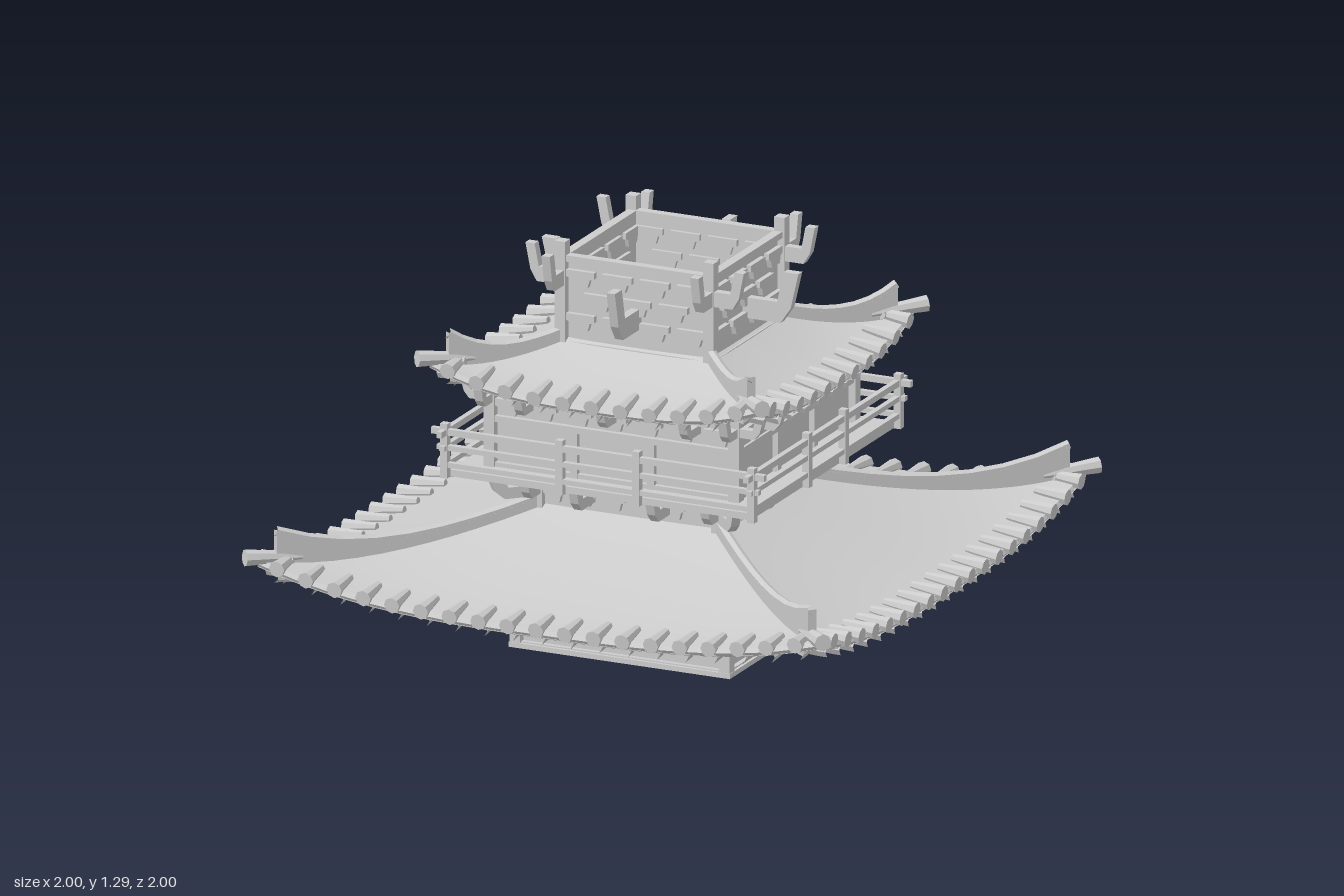
import * as THREE from 'three';

const mat = new THREE.MeshStandardMaterial({ color: 0xcccccc, flatShading: true });
const thinMat = new THREE.MeshStandardMaterial({ color: 0xcccccc, side: THREE.DoubleSide });
const V = (x, y, z) => new THREE.Vector3(x, y, z);

function add(parent, name, geo, x = 0, y = 0, z = 0, material = mat) {
  const m = new THREE.Mesh(geo, material);
  m.name = name;
  m.position.set(x, y, z);
  parent.add(m);
  return m;
}
const box = (p, name, w, h, d, x, y, z) => add(p, name, new THREE.BoxGeometry(w, h, d), x, y, z);

function tube(p, name, pts, r, sides = 6) {
  return add(p, name, new THREE.TubeGeometry(new THREE.CatmullRomCurve3(pts), 8, r, sides));
}

// Tapered round bar between two points
function bar(p, name, a, b, ra, rb) {
  const dir = b.clone().sub(a);
  const m = add(p, name, new THREE.CylinderGeometry(rb, ra, dir.length(), 8));
  m.position.copy(a).addScaledVector(dir, 0.5);
  m.quaternion.setFromUnitVectors(V(0, 1, 0), dir.normalize());
  return m;
}

function extrude(points, depth) {
  const s = new THREE.Shape(points.map(([x, y]) => new THREE.Vector2(x, y)));
  return new THREE.ExtrudeGeometry(s, { depth, bevelEnabled: false }).translate(0, 0, -depth / 2);
}

// Hooked bracket arm pointing away from the wall; angle 0 points to +z
function arm(p, x, y, z, L, H, angle = 0) {
  const geo = extrude([[0, 0], [0.68 * L, 0], [0.86 * L, 0.3 * H], [L, H], [0.74 * L, H],
    [0.62 * L, 0.4 * H], [0, 0.4 * H]], 0.028);
  add(p, 'bracketArm', geo, x, y, z).rotation.y = angle - Math.PI / 2;
}

// Wall side with corner post, beams and rows of boat-shaped bracket blocks in relief
function wallSide(p, half, y0, y1, rows, count, post = y1) {
  box(p, 'wallPanel', 2 * half, y1 - y0, 0.012, 0, (y0 + y1) / 2, half - 0.012);
  box(p, 'cornerPost', 0.036, post - y0, 0.036, half, (y0 + post) / 2, half);
  for (const y of [y0 + 0.01, y1 - 0.01]) box(p, 'wallBeam', 2 * half, 0.02, 0.03, 0, y, half - 0.005);
  const step = 2 * half / count;
  rows.forEach((y, row) => {
    const n = row % 2 ? count - 1 : count;
    for (let i = 0; i < n; i++) {
      const x = (i - (n - 1) / 2) * step, w = step * 0.4;
      const boat = [[-w * 0.55, 0], [w * 0.55, 0], [w * 0.7, 0.025], [w, 0.03], [w, 0.05], [-w, 0.05],
        [-w, 0.03], [-w * 0.7, 0.025]];
      add(p, 'bracketRelief', extrude(boat, 0.04), x, y, half - 0.01);
    }
  });
}

// One quarter of a curved roof: slab, rafters, tile ends and hip ridge
function roofSide(p, { outer, inner, eaveY, topY, lift, tiles }) {
  const height = (x, z) => {
    const t = (outer - z) / (outer - inner);
    return eaveY + (topY - eaveY) * Math.pow(Math.max(t, 0), 1.5)
      + lift * Math.pow(Math.abs(x) / outer, 3) * (1 - 0.4 * Math.max(t, 0));
  };
  // Upper and lower roof skins
  for (const drop of [0, 0.025]) {
    const geo = new THREE.PlaneGeometry(2, 1, 28, 12), pos = geo.attributes.position;
    for (let i = 0; i < pos.count; i++) {
      const h = THREE.MathUtils.lerp(outer, inner, pos.getY(i) + 0.5), x = pos.getX(i) * h;
      pos.setXYZ(i, x, height(x, h) - drop, h);
    }
    geo.computeVertexNormals();
    add(p, drop ? 'roofUnderside' : 'roofSurface', geo, 0, 0, 0, thinMat);
  }
  // Rafters below and tile ends at the eave
  for (let i = 0; i < tiles; i++) {
    const x = (i - (tiles - 1) / 2) * 0.0975;
    const end = Math.max(inner, Math.abs(x)) + 0.01;
    const pts = [];
    for (let k = 0; k <= 5; k++) {
      const z = THREE.MathUtils.lerp(outer, end, k / 5);
      pts.push(V(x, height(x, z) - 0.03, z));
    }
    tube(p, 'rafter', pts, 0.022);
    const y = height(x, outer);
    bar(p, 'tileEnd', V(x, y + 0.002, outer + 0.02), V(x, height(x, outer - 0.1) + 0.004, outer - 0.09), 0.026, 0.014);
  }
  // Eave board following the edge
  const edge = [];
  for (let k = 0; k <= 12; k++) {
    const x = outer * (k / 6 - 1);
    edge.push(V(x, height(x, outer) - 0.015, outer - 0.01));
  }
  add(p, 'eaveEdge', new THREE.TubeGeometry(new THREE.CatmullRomCurve3(edge), 24, 0.014, 5));
  // Hip ridge: upright fin with a round cap, on the corner diagonal
  const low = [], high = [], cap = [], hip = [];
  for (let k = 0; k <= 10; k++) {
    const u = k / 10, h = THREE.MathUtils.lerp(inner, outer - 0.04, u), y = height(h, h);
    const top = y + 0.025 + 0.07 * u * u * u;
    low.push([h * Math.SQRT2, y - 0.02]);
    high.unshift([h * Math.SQRT2, top]);
    cap.push(V(h, top, h));
    hip.push(V(h, y - 0.04, h));
  }
  add(p, 'hipRidge', extrude([...low, ...high], 0.028)).rotation.y = -Math.PI / 4;
  tube(p, 'ridgeCap', cap, 0.016);
  tube(p, 'hipRafter', hip, 0.03);
  const tip = outer + 0.03, tipY = height(outer, outer);
  bar(p, 'cornerTile', V(outer - 0.1, height(outer - 0.1, outer - 0.1) + 0.015, outer - 0.1),
    V(tip, tipY + 0.008, tip), 0.016, 0.027);
}

function buildSide() {
  const side = new THREE.Group();
  const Q = Math.PI / 2;

  // Ground storey
  wallSide(side, 0.355, 0, 0.36, [0.06, 0.13, 0.2, 0.26], 5);
  box(side, 'sill', 0.75, 0.016, 0.04, 0, 0.008, 0.355);
  for (const x of [-0.13, 0.13]) {
    arm(side, x, 0.11, 0.35, 0.17, 0.16);
    box(side, 'bracketBlock', 0.1, 0.03, 0.03, x, 0.25, 0.46);
  }
  for (const x of [-0.355, 0.355]) arm(side, x, 0.14, 0.355, 0.15, 0.14);
  arm(side, 0.36, 0.11, 0.36, 0.2, 0.17, Q / 2);
  box(side, 'eaveBeam', 0.98, 0.022, 0.03, 0, 0.278, 0.48);

  roofSide(side, { outer: 0.95, inner: 0.3, eaveY: 0.275, topY: 0.45, lift: 0.095, tiles: 19 });

  // Balcony base and deck
  wallSide(side, 0.305, 0.42, 0.59, [0.465, 0.525], 6);
  for (const x of [-0.13, 0.13]) arm(side, x, 0.48, 0.3, 0.14, 0.09);
  for (const x of [-0.305, 0.305]) arm(side, x, 0.49, 0.3, 0.12, 0.08);
  arm(side, 0.3, 0.48, 0.3, 0.18, 0.09, Q / 2);
  const deck = extrude([[-0.3, 0.3], [-0.51, 0.51], [0.51, 0.51], [0.3, 0.3]], 0.022).rotateX(Q);
  add(side, 'balconyDeck', deck, 0, 0.58, 0);

  // Railing
  for (const [y, w, r] of [[0.61, 1.04, 0.008], [0.665, 1.09, 0.008], [0.715, 1.13, 0.01]]) {
    box(side, 'rail', w, r * 2, 0.018, 0, y, 0.52);
  }
  for (const x of [-0.13, 0.13, 0.52]) box(side, 'railPost', 0.024, 0.175, 0.024, x, 0.655, 0.52);

  // Middle storey
  wallSide(side, 0.415, 0.585, 0.88, [0.76, 0.815], 7);
  for (const x of [-0.13, 0.13]) box(side, 'doorPost', 0.025, 0.17, 0.025, x, 0.67, 0.415);
  box(side, 'lintel', 0.84, 0.02, 0.03, 0, 0.745, 0.412);
  for (const x of [-0.28, 0, 0.28]) arm(side, x, 0.79, 0.41, 0.11, 0.07);
  for (const x of [-0.415, 0.415]) arm(side, x, 0.8, 0.415, 0.1, 0.07);

  roofSide(side, { outer: 0.555, inner: 0.245, eaveY: 0.875, topY: 0.975, lift: 0.075, tiles: 11 });

  // Open top storey
  wallSide(side, 0.252, 0.95, 1.245, [1.01, 1.08, 1.15], 4, 1.29);
  arm(side, 0, 1.04, 0.245, 0.19, 0.165);
  for (const x of [-0.252, 0.252]) arm(side, x, 1.15, 0.25, 0.12, 0.12);
  return side;
}

export function createModel() {
  const model = new THREE.Group();
  model.name = 'pagoda';
  const names = ['frontSide', 'leftSide', 'backSide', 'rightSide'];
  const side = buildSide();
  names.forEach((name, i) => {
    const s = side.clone();
    s.name = name;
    s.rotation.y = i * Math.PI / 2;
    model.add(s);
  });
  return model;
}
